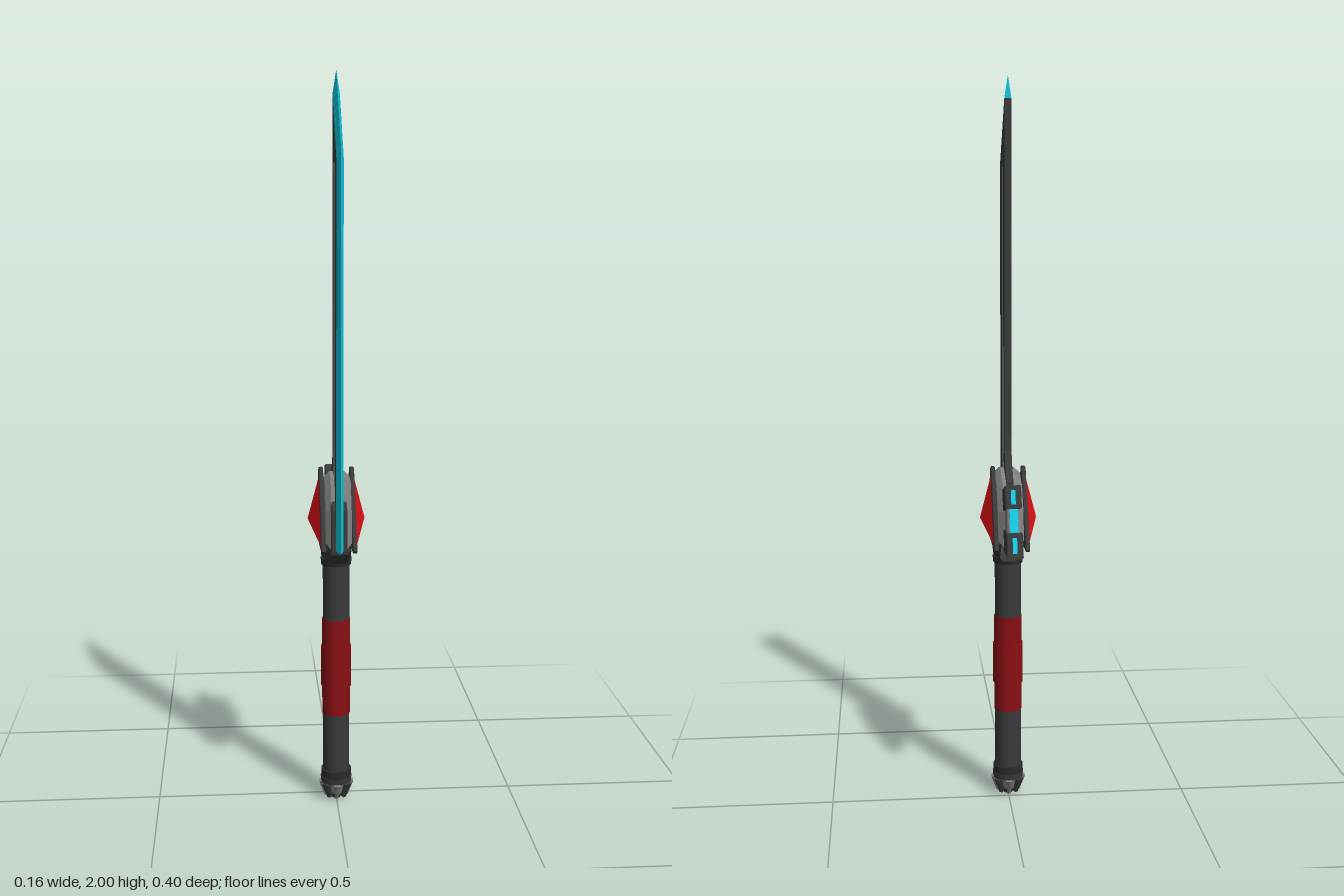
import * as THREE from 'three';

const mat = (color, flatShading = false) => new THREE.MeshStandardMaterial({ color, flatShading });
const DARK = mat(0x3a3a3a), BLACK = mat(0x2a2a2a), GREY = mat(0x808080);
const RED = mat(0xd81014, true), WRAP = mat(0x8a0f14), CYAN = mat(0x12cde8, true);
const AXIS_Z = 0.03; // the grip and gems are centred here

export function createModel() {
  const group = new THREE.Group();

  const add = (name, geometry, material) => {
    const mesh = new THREE.Mesh(geometry, material);
    mesh.name = name;
    group.add(mesh);
    return mesh;
  };

  // Plate from a side outline of [z, y] points, centred on x, with optional chamfer
  const slab = (name, points, width, material, bevel = 0, x = 0) => {
    const shape = new THREE.Shape(points.map(([z, y]) => new THREE.Vector2(z, y)));
    const geo = new THREE.ExtrudeGeometry(shape, {
      depth: width - 2 * bevel, bevelEnabled: bevel > 0, bevelSize: bevel,
      bevelThickness: bevel, bevelOffset: -bevel, bevelSegments: 1,
    });
    geo.translate(0, 0, -(width - 2 * bevel) / 2).rotateY(-Math.PI / 2).translate(x, 0, 0);
    return add(name, geo, material);
  };

  // Upright ring or cylinder between two heights
  const round = (name, y0, y1, r0, r1, material) => {
    const geo = new THREE.CylinderGeometry(r1, r0, y1 - y0, 24);
    return add(name, geo.translate(0, (y0 + y1) / 2, AXIS_Z), material);
  };

  // Flat-faced geometry from triangles of points
  const faceted = (triangles) => {
    const geo = new THREE.BufferGeometry();
    geo.setAttribute('position', new THREE.Float32BufferAttribute(triangles.flat(2), 3));
    geo.computeVertexNormals();
    return geo;
  };

  // Blade core with its curved heel
  slab('bladeCore', [[0.165, 0.75], [0.165, 1.775], [0.03, 1.94], [0.03, 1.04], [0.024, 1.0],
    [0.006, 0.965], [-0.035, 0.925], [-0.035, 0.75]], 0.019, DARK);
  slab('bladeFuller', [[0.098, 0.9], [0.098, 1.765], [0.067, 1.765], [0.067, 1.03],
    [0.06, 0.98], [0.045, 0.94], [0.045, 0.9]], 0.0205, GREY);

  // Cutting edge: a wedge that follows the front and the slanted tip
  const inner = [[0.165, 0.755], [0.165, 1.775], [0.03, 1.94]];
  const outer = [[0.2, 0.755], [0.2, 1.8], [0.03, 2.0]];
  const edge = [];
  const at = (x, [z, y]) => [x, y, z];
  const h = 0.0095;
  for (let i = 0; i < 2; i++) {
    for (const s of [1, -1]) {
      const a = at(0, outer[i]), b = at(s * h, inner[i]);
      const c = at(s * h, inner[i + 1]), d = at(0, outer[i + 1]);
      edge.push(...(s > 0 ? [[a, b, c], [a, c, d]] : [[a, c, b], [a, d, c]]));
    }
  }
  edge.push([at(0, outer[0]), at(-h, inner[0]), at(h, inner[0])]);
  edge.push([at(0, outer[2]), at(h, inner[2]), at(-h, inner[2])]);
  add('cuttingEdge', faceted(edge), CYAN);

  // Guard body between the side plates
  slab('guardBody', [[0.15, 0.755], [0.138, 0.86], [0.1, 0.94], [0.045, 0.948], [-0.025, 0.92],
    [-0.07, 0.85], [-0.085, 0.755]], 0.07, GREY, 0.015);
  slab('guardFrontTrim', [[0.153, 0.75], [0.143, 0.86], [0.122, 0.89], [0.128, 0.75]], 0.044, DARK, 0.004);
  slab('guardShoulder', [[0.13, 0.75], [0.122, 0.8], [0.09, 0.82], [0.08, 0.75]], 0.072, BLACK, 0.005);
  slab('guardUnderside', [[0.145, 0.76], [-0.06, 0.76], [-0.002, 0.692], [0.068, 0.692], [0.14, 0.738]],
    0.066, DARK, 0.012);
  slab('guardRearArm', [[0, 0.71], [-0.08, 0.79], [-0.115, 0.765], [-0.1, 0.745], [-0.01, 0.695]],
    0.05, GREY, 0.008);
  slab('undersideInset', [[0.052, 0.728], [0.052, 0.742], [0.008, 0.742], [0.008, 0.728]], 0.07, GREY);

  // Triangular side plates with raised gems
  for (const s of [1, -1]) {
    slab('sidePlate', [[0.157, 0.752], [0.15, 0.745], [-0.1, 0.745], [-0.11, 0.752],
      [0.02, 0.955], [0.04, 0.955]], 0.012, DARK, 0.002, s * 0.042);
    const apex = [s * 0.078, 0.813, AXIS_Z - 0.004];
    const base = [[0.133, 0.759], [-0.077, 0.759], [AXIS_Z, 0.93]].map((p) => at(s * 0.0475, p));
    const gem = base.map((p, i) => {
      const q = base[(i + 1) % 3];
      return s > 0 ? [p, q, apex] : [q, p, apex];
    });
    add('sideGem', faceted(gem), RED);
  }

  // Rear vent: two dark blocks with a narrower glowing core
  slab('ventUpperBlock', [[-0.04, 0.908], [-0.12, 0.934], [-0.145, 0.876], [-0.07, 0.852]], 0.044, DARK, 0.003);
  slab('ventLowerBlock', [[-0.08, 0.805], [-0.172, 0.815], [-0.198, 0.752], [-0.1, 0.748]], 0.044, DARK, 0.003);
  slab('ventCore', [[-0.02, 0.9], [-0.07, 0.885], [-0.137, 0.885], [-0.162, 0.805], [-0.08, 0.76],
    [-0.03, 0.76]], 0.036, GREY, 0.004);
  slab('ventCoreGlow', [[-0.13, 0.877], [-0.146, 0.872], [-0.166, 0.816], [-0.15, 0.816]], 0.022, CYAN);
  slab('ventUpperGlow', [[-0.118, 0.922], [-0.1255, 0.922], [-0.141, 0.887], [-0.133, 0.887]], 0.012, CYAN);
  slab('ventLowerGlow', [[-0.17, 0.804], [-0.1775, 0.804], [-0.194, 0.765], [-0.185, 0.765]], 0.012, CYAN);

  // Grip with its wrap and collar rings
  round('grip', 0.06, 0.72, 0.037, 0.037, DARK);
  round('gripWrap', 0.255, 0.53, 0.039, 0.039, WRAP);
  round('gripWrapBand', 0.335, 0.45, 0.042, 0.042, WRAP);
  for (const y of [0.685, 0.71, 0.735]) round('collarRing', y, y + 0.018, 0.041, 0.043, BLACK);

  // Pommel: ring, cup and a crown of downward teeth
  round('pommelRing', 0.066, 0.088, 0.042, 0.042, BLACK);
  round('pommelRingLower', 0.05, 0.066, 0.042, 0.044, DARK);
  round('pommelCup', 0.018, 0.05, 0.026, 0.038, GREY);
  for (let i = 0; i < 8; i++) {
    const tooth = new THREE.CylinderGeometry(0.014, 0.007, 0.045, 4);
    tooth.rotateY(Math.PI / 4).rotateX(0.25).translate(0, 0.03, 0.033);
    tooth.rotateY((i * Math.PI) / 4).translate(0, 0, AXIS_Z);
    add('pommelTooth', tooth, i % 2 ? DARK : GREY).material.flatShading = false;
  }
  round('pommelTip', 0, 0.02, 0.012, 0.024, DARK);

  return group;
}
